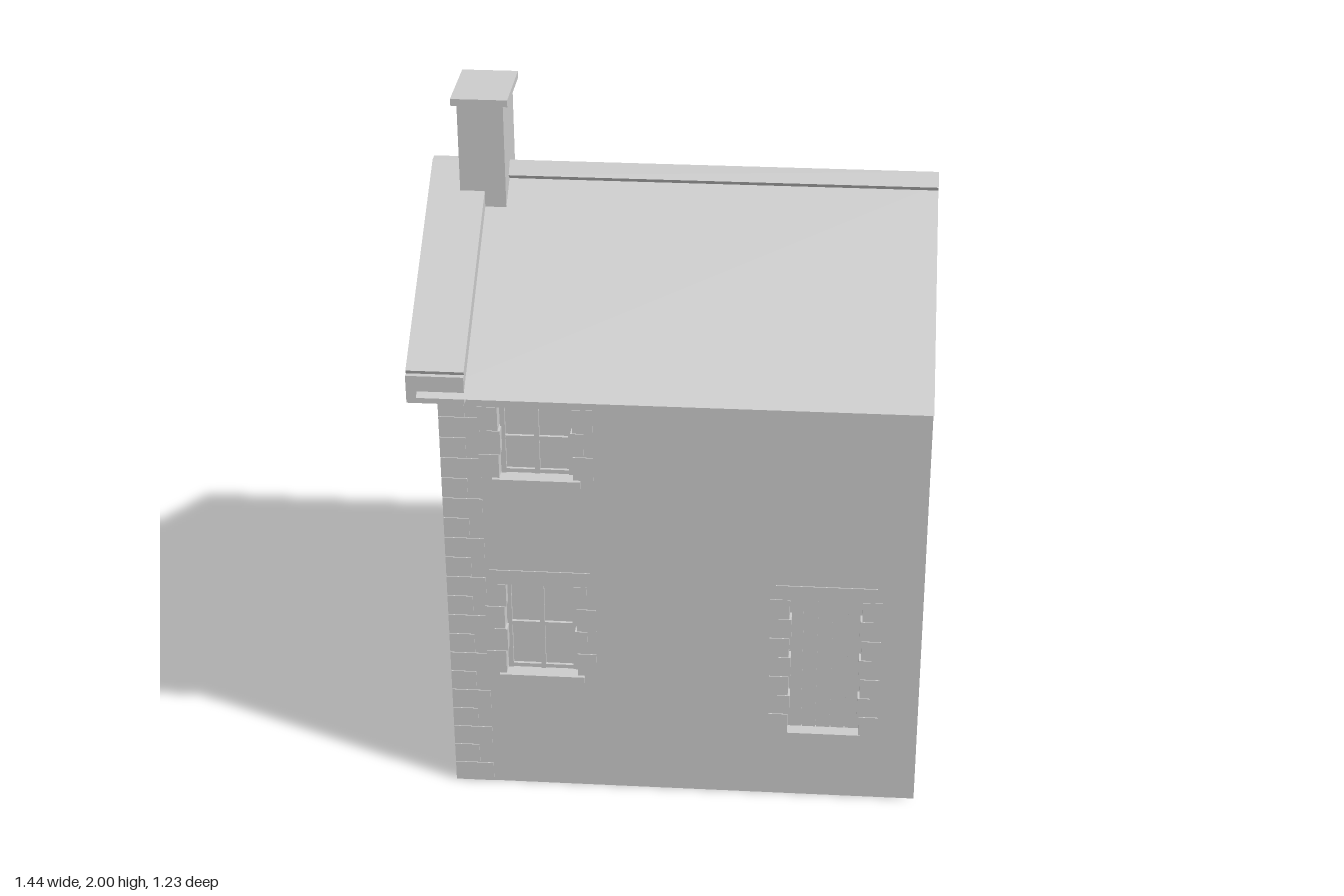
import * as THREE from 'three';

const stone = new THREE.MeshStandardMaterial({ color: 0xcccccc, side: THREE.DoubleSide });
stone.name = 'pale grey stone';

function add(parent, name, geometry) {
  const mesh = new THREE.Mesh(geometry, stone);
  mesh.name = name;
  parent.add(mesh);
  return mesh;
}

// Box given by its minimum and maximum on each axis
function box(parent, name, x0, x1, y0, y1, z0, z1) {
  const mesh = add(parent, name, new THREE.BoxGeometry(x1 - x0, y1 - y0, z1 - z0));
  mesh.position.set((x0 + x1) / 2, (y0 + y1) / 2, (z0 + z1) / 2);
  return mesh;
}

const shapeOf = (pts) => new THREE.Shape(pts.map(([x, y]) => new THREE.Vector2(x, y)));

const LEFT = -0.64, RIGHT = 0.72, WALL_Z = 0.55, WALL_TOP = 1.36;
const DEPTH = 0.11, PROUD = 0.003;

// Openings: centre x, bottom, top, kind
const frontOpenings = [
  { name: 'lowerFrontWindow', x: -0.375, y0: 0.39, y1: 0.695, rows: 4, kind: 'window' },
  { name: 'upperFrontWindow', x: -0.375, y0: 1.045, y1: 1.27, rows: 3, kind: 'window' },
  { name: 'frontDoor', x: 0.445, y0: 0.22, y1: 0.68, rows: 7, kind: 'door' },
];
const backOpenings = [
  { name: 'upperBackWindow', x: 0.06, y0: 1.02, y1: 1.245, rows: 3, kind: 'window' },
  { name: 'backDoor', x: 0.06, y0: 0.21, y1: 0.67, rows: 7, kind: 'door' },
];

// Thin wall with holes for its openings
function longWall(parent, name, z, openings) {
  const shape = shapeOf([[LEFT, 0], [RIGHT, 0], [RIGHT, WALL_TOP], [LEFT, WALL_TOP]]);
  for (const o of openings) {
    const a = o.x - 0.11, b = o.x + 0.11;
    shape.holes.push(shapeOf([[a, o.y0], [a, o.y1], [b, o.y1], [b, o.y0]]));
  }
  add(parent, name, new THREE.ShapeGeometry(shape)).position.z = z;
}

// Stone surround with a recessed window or plank door, facing +z
function opening(parent, o, side) {
  const g = new THREE.Group();
  g.name = o.name;
  g.position.set(o.x, 0, side * WALL_Z);
  if (side < 0) g.rotation.y = Math.PI;
  parent.add(g);
  const { y0, y1, rows } = o;
  const h = (y1 - y0) / rows;
  const window = o.kind === 'window';

  // Jamb stones, alternately long and short
  for (const s of [-1, 1]) {
    for (let i = 0; i < rows; i++) {
      const inner = i % 2 ? 0.098 : 0.104;
      const outer = i % 2 ? 0.135 : 0.16;
      box(g, 'jambStone', Math.min(s * inner, s * outer), Math.max(s * inner, s * outer),
        y0 + i * h + 0.001, y0 + (i + 1) * h - 0.001, i % 2 ? -DEPTH : -DEPTH + 0.008, PROUD);
    }
  }
  box(g, 'lintel', -0.145, 0.145, y1, y1 + 0.046, -DEPTH - 0.012, PROUD);
  if (window) box(g, 'sill', -0.124, 0.124, y0 - 0.022, y0, -DEPTH - 0.01, 0.012);
  else box(g, 'threshold', -0.11, 0.11, y0 - 0.02, y0, -DEPTH, PROUD);

  if (window) {
    // Sash frame, glazing bars and glass
    const m = (y0 + y1) / 2;
    for (const x of [-0.095, 0, 0.095]) box(g, 'uprightBar', x - 0.007, x + 0.007, y0, y1, -0.05, -0.03);
    for (const y of [y0 + 0.007, m, y1 - 0.007]) box(g, 'crossBar', -0.1, 0.1, y - 0.006, y + 0.006, -0.05, -0.032);
    box(g, 'glass', -0.104, 0.104, y0, y1, -0.046, -0.041);
  } else {
    // Five vertical planks with narrow grooves
    for (let i = 0; i < 5; i++) {
      const a = -0.105 + i * 0.042;
      box(g, 'plank', a + 0.0015, a + 0.0405, y0, y1, -0.05, -0.035);
    }
    box(g, 'doorBacking', -0.105, 0.105, y0, y1, -0.052, -0.042);
  }
}

// Profile given in z and y, symmetric about z = 0, extruded along x
function alongX(parent, name, pts, x0, x1) {
  const geo = new THREE.ExtrudeGeometry(shapeOf(pts), { depth: x1 - x0, bevelEnabled: false });
  geo.rotateY(Math.PI / 2);
  add(parent, name, geo).position.x = x0;
}

export function createModel() {
  const house = new THREE.Group();
  house.name = 'cottage';

  // Walls; the +x end and the underside are open
  longWall(house, 'frontWall', WALL_Z, frontOpenings);
  longWall(house, 'backWall', -WALL_Z, backOpenings);
  const gable = add(house, 'gableWall', new THREE.ShapeGeometry(shapeOf(
    [[-WALL_Z, 0], [WALL_Z, 0], [WALL_Z, 1.335], [0, 1.7], [-WALL_Z, 1.335]])));
  gable.rotation.y = -Math.PI / 2;
  gable.position.x = LEFT;

  for (const o of frontOpenings) opening(house, o, 1);
  for (const o of backOpenings) opening(house, o, -1);

  // Corner stones on both corners of the gable
  const count = 20, h = 1.3 / count;
  for (const s of [-1, 1]) {
    for (let i = 0; i < count; i++) {
      const long = i % 2;
      const inner = s * (WALL_Z - (long ? 0.11 : 0.08)), outer = s * (WALL_Z + PROUD);
      box(house, 'cornerStone', LEFT - PROUD, LEFT + (long ? 0.07 : 0.11),
        i * h + 0.001, (i + 1) * h - 0.001, Math.min(inner, outer), Math.max(inner, outer));
    }
    // Kneeler block carrying the foot of the coping
    box(house, 'kneeler', -0.72, -0.56, 1.3, 1.383, s > 0 ? 0.48 : -0.6, s > 0 ? 0.6 : -0.48);
  }

  // Thin roof slopes
  for (const s of [-1, 1]) {
    const x0 = -0.69, z = s * 0.617;
    const geo = new THREE.BufferGeometry();
    geo.setAttribute('position', new THREE.Float32BufferAttribute(
      [x0, 1.325, z, RIGHT, 1.325, z, RIGHT, 1.738, 0, x0, 1.738, 0], 3));
    geo.setIndex(s > 0 ? [0, 1, 2, 0, 2, 3] : [0, 2, 1, 0, 3, 2]);
    geo.computeVertexNormals();
    add(house, s > 0 ? 'frontRoofSlope' : 'backRoofSlope', geo);
  }

  // Diamond ridge bar and gable coping
  alongX(house, 'ridge', [[0, 1.708], [0.034, 1.741], [0, 1.775], [-0.034, 1.741]], -0.52, RIGHT);
  alongX(house, 'coping', [[0, 1.735], [0.57, 1.353], [0.59, 1.394], [0.015, 1.775],
    [-0.015, 1.775], [-0.59, 1.394], [-0.57, 1.353]], -0.72, -0.56);

  // Chimney
  box(house, 'chimney', -0.63, -0.5, 1.63, 1.985, -0.1, 0.1);
  box(house, 'chimneyCap', -0.645, -0.485, 1.98, 2, -0.115, 0.115);

  return house;
}
